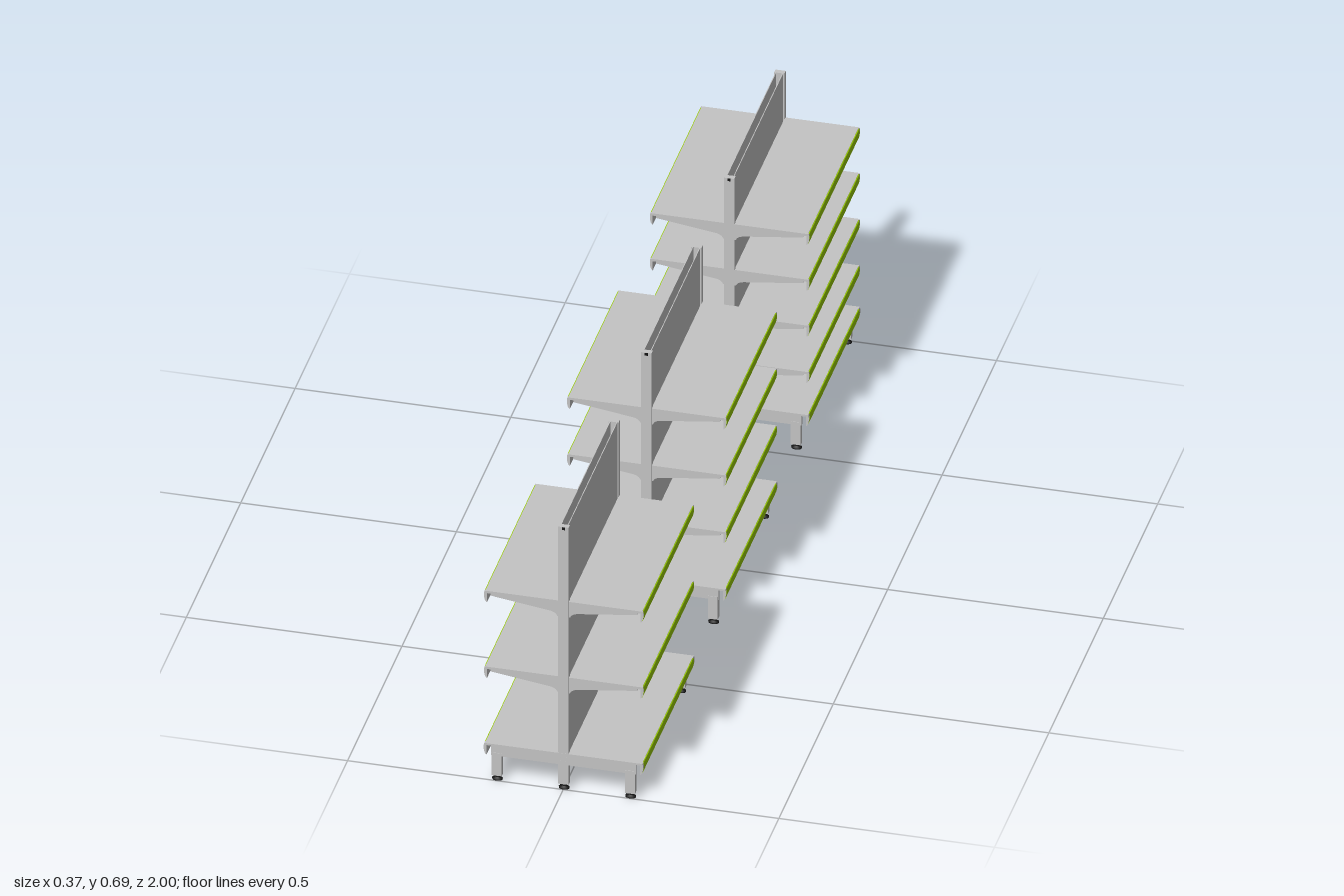
import * as THREE from 'three';

const steel = new THREE.MeshStandardMaterial({ color: 0xc4c4c4 });
steel.name = 'grey steel';
const green = new THREE.MeshStandardMaterial({ color: 0x99cc00 });
green.name = 'green strip';
const black = new THREE.MeshStandardMaterial({ color: 0x151515 });
black.name = 'black plastic';

const END = 0.23; // distance of the uprights from the middle of a unit

function add(parent, name, geometry, material, x = 0, y = 0, z = 0) {
  const mesh = new THREE.Mesh(geometry, material);
  mesh.name = name;
  mesh.position.set(x, y, z);
  parent.add(mesh);
  return mesh;
}

function box(parent, name, material, w, h, d, x, y, z) {
  return add(parent, name, new THREE.BoxGeometry(w, h, d), material, x, y, z);
}

// Extrudes a side outline along z, centred on z = 0
function extrude(shape, depth) {
  return new THREE.ExtrudeGeometry(shape, { depth, bevelEnabled: false, curveSegments: 6 })
    .translate(0, 0, -depth / 2);
}

// Rounded drop at the front edge, ending at the top outer corner
function hook(shape) {
  shape.lineTo(0.178, -0.03);
  shape.quadraticCurveTo(0.183, -0.028, 0.1845, -0.016);
  shape.quadraticCurveTo(0.1855, -0.006, 0.1835, 0);
}

function bracketShape() {
  const s = new THREE.Shape();
  s.moveTo(0.011, 0);
  s.lineTo(0.011, -0.042);
  s.lineTo(0.015, -0.041);
  s.quadraticCurveTo(0.018, -0.031, 0.035, -0.029);
  s.lineTo(0.17, -0.011);
  s.lineTo(0.17, -0.006);
  s.lineTo(0.178, -0.006);
  hook(s);
  s.closePath();
  return s;
}

function beamShape() {
  const s = new THREE.Shape();
  s.moveTo(0, 0);
  s.lineTo(0, -0.03);
  s.lineTo(0.168, -0.03);
  s.lineTo(0.168, -0.005);
  s.lineTo(0.178, -0.005);
  hook(s);
  s.closePath();
  return s;
}

// Thin curved price strip that faces the front lip
function stripShape() {
  const s = new THREE.Shape();
  s.moveTo(0.1795, -0.001);
  s.lineTo(0.1795, -0.03);
  s.quadraticCurveTo(0.1835, -0.028, 0.185, -0.016);
  s.quadraticCurveTo(0.1858, -0.006, 0.184, -0.001);
  s.closePath();
  return s;
}

// Tray and front edge on the +x side, with its top at y = 0
function tray(parent) {
  box(parent, 'shelfTray', steel, 0.171, 0.005, 0.459, 0.0965, -0.0025, 0);
  box(parent, 'frontLip', steel, 0.0015, 0.03, 0.459, 0.1787, -0.015, 0);
  add(parent, 'priceStrip', extrude(stripShape(), 0.459), green);
}

function upperShelf() {
  const g = new THREE.Group();
  g.name = 'upperShelf';
  tray(g);
  for (const x of [0.07, 0.125]) {
    box(g, 'stiffeningRib', steel, 0.014, 0.007, 0.456, x, -0.0075, 0);
  }
  for (const s of [-1, 1]) {
    add(g, 'shelfBracket', extrude(bracketShape(), 0.004), steel, 0, 0, s * 0.2315);
  }
  return g;
}

function foot(parent, x, z) {
  const profile = [[0, 0], [0.012, 0], [0.0125, 0.004], [0.006, 0.007], [0.006, 0.008],
    [0.01, 0.009], [0.01, 0.013], [0, 0.013]].map(([r, y]) => new THREE.Vector2(r, y));
  const f = add(parent, 'foot', new THREE.LatheGeometry(profile, 16), black, x, 0, z);
  f.scale.z = 0.64;
}

function baseHalf() {
  const g = new THREE.Group();
  g.name = 'baseShelf';
  const top = new THREE.Group();
  top.name = 'baseTop';
  top.position.y = 0.095;
  g.add(top);
  tray(top);
  for (const s of [-1, 1]) {
    add(top, 'baseBeam', extrude(beamShape(), 0.008), steel, 0, 0, s * 0.2328);
    box(g, 'leg', steel, 0.023, 0.06, 0.015, 0.1545, 0.043, s * 0.2305);
    foot(g, 0.1545, s * END);
  }
  return g;
}

function upright(z) {
  const g = new THREE.Group();
  g.name = 'upright';
  const side = Math.sign(z);
  box(g, 'post', steel, 0.024, 0.682, 0.0125, 0, 0.354, z);
  box(g, 'postCap', black, 0.007, 0.007, 0.001, 0, 0.691, z + side * 0.0064);
  foot(g, 0, z);
  for (const x of [-0.007, 0.007]) {
    for (const y of [0.073, 0.083]) {
      const screw = new THREE.CylinderGeometry(0.002, 0.002, 0.002, 10).rotateX(Math.PI / 2);
      add(g, 'screw', screw, steel, x, y, side * 0.237);
    }
  }
  return g;
}

function shelfUnit(z, tops) {
  const unit = new THREE.Group();
  unit.name = 'shelfUnit';
  unit.position.z = z;
  for (const s of [-1, 1]) {
    unit.add(upright(s * END));
    box(unit, 'backPanel', steel, 0.002, 0.61, 0.45, s * 0.008, 0.39, 0);
  }
  // Both sides are the same, turned half a circle
  for (const turn of [0, Math.PI]) {
    const base = baseHalf();
    base.rotation.y = turn;
    unit.add(base);
    for (const y of tops) {
      const shelf = upperShelf();
      shelf.position.y = y;
      shelf.rotation.y = turn;
      unit.add(shelf);
    }
  }
  return unit;
}

export function createModel() {
  const model = new THREE.Group();
  model.name = 'doubleSidedShelving';
  model.add(shelfUnit(0.762, [0.296, 0.497]));
  model.add(shelfUnit(0, [0.245, 0.396, 0.547]));
  model.add(shelfUnit(-0.762, [0.207, 0.33, 0.452, 0.573]));
  return model;
}
